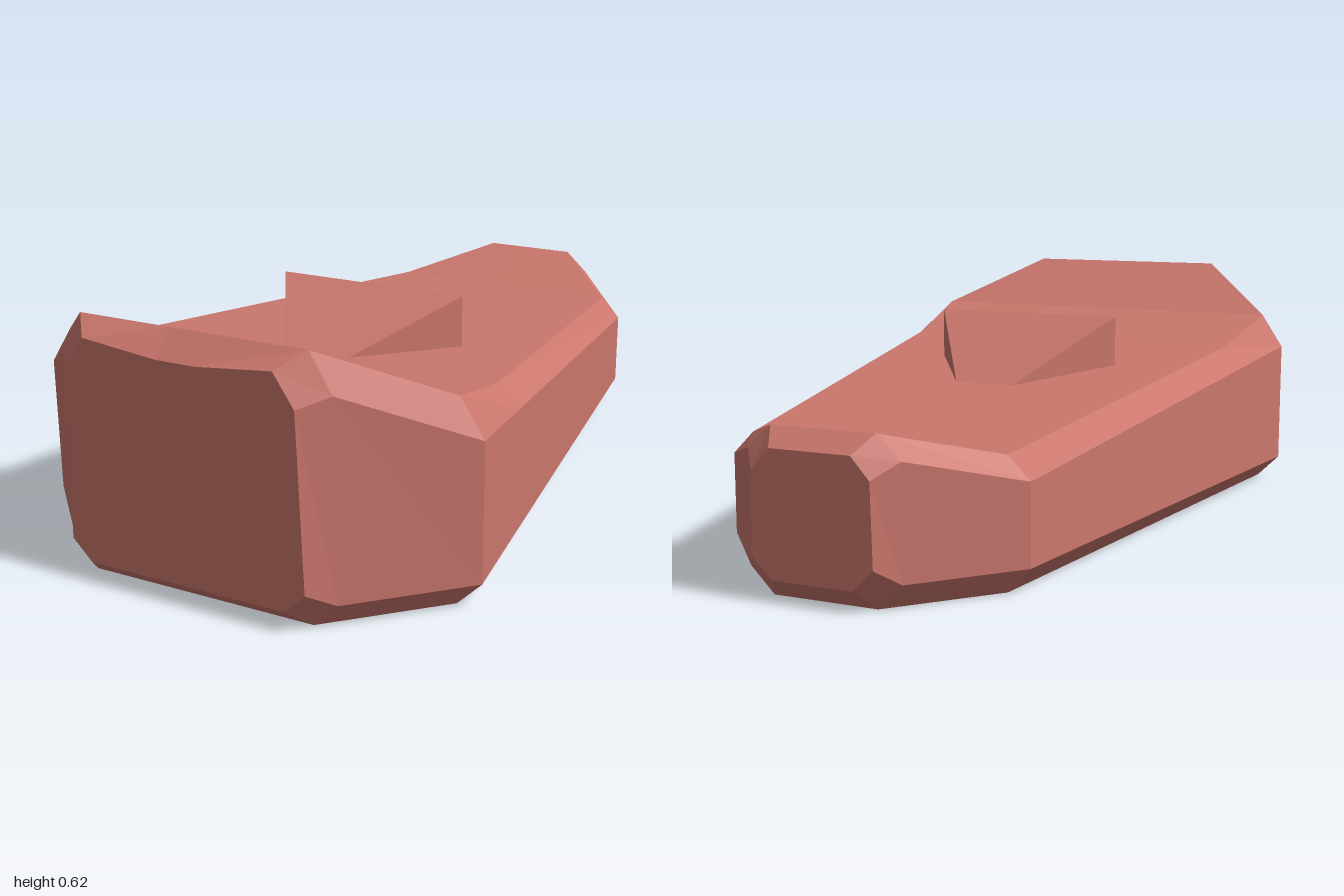
import * as THREE from 'three';

const material = new THREE.MeshStandardMaterial({ color: 0xcb776d, flatShading: true });

function makeMesh(name, triangles) {
  const geometry = new THREE.BufferGeometry();
  geometry.setAttribute('position', new THREE.Float32BufferAttribute(triangles.flat(2), 3));
  geometry.computeVertexNormals();
  const mesh = new THREE.Mesh(geometry, material);
  mesh.name = name;
  return mesh;
}

const mirrorX = ([x, y, z]) => [-x, y, z];

// Half sections from back to front: z, then x,y from bottom edge to top edge.
// The last pair sits near the centre line.
const sections = [
  [-1, 0.10, 0.05, 0.15, 0.10, 0.145, 0.29, 0.10, 0.34, 0.03, 0.34],
  [-0.945, 0.13, 0, 0.19, 0.06, 0.19, 0.325, 0.13, 0.38, 0.04, 0.38],
  [-0.72, 0.33, 0, 0.385, 0.06, 0.385, 0.255, 0.33, 0.31, 0.05, 0.31],
  [0.425, 0.482, 0, 0.541, 0.06, 0.541, 0.367, 0.482, 0.42, 0.05, 0.42],
  [0.71, 0.52, 0, 0.58, 0.06, 0.58, 0.395, 0.52, 0.487, 0.05, 0.487],
  [0.94, 0.29, 0, 0.35, 0.06, 0.345, 0.53, 0.29, 0.62, 0.05, 0.62],
  [1, 0.255, 0.05, 0.305, 0.10, 0.29, 0.51, 0.24, 0.585, 0.05, 0.565],
];

function makeBody() {
  const rings = sections.map(([z, ...xy]) => {
    const half = [];
    for (let i = 0; i < xy.length; i += 2) half.push([xy[i], xy[i + 1], z]);
    return [...half, ...half.map(mirrorX).reverse()];
  });
  const triangles = [];
  const count = rings[0].length;
  for (let s = 0; s < rings.length - 1; s++) {
    const a = rings[s], b = rings[s + 1];
    for (let i = 0; i < count; i++) {
      const j = (i + 1) % count;
      triangles.push([a[i], a[j], b[j]], [a[i], b[j], b[i]]);
    }
  }
  // End faces
  const back = rings[0], front = rings[rings.length - 1];
  for (let i = 0; i < count; i++) {
    const j = (i + 1) % count;
    triangles.push([[0, 0.3, 1], front[i], front[j]], [[0, 0.2, -1], back[j], back[i]]);
  }
  return makeMesh('body', triangles);
}

// Raised wedge: a wide ridge whose slopes narrow to the deck at both ends
function makeRidge() {
  const top = [0.26, 0.525, 0.14], foot = [0.26, 0.392, 0.14];
  const front = [0.09, 0.42, 0.425], back = [0.08, 0.365, -0.145];
  const [topL, footL, frontL, backL] = [top, foot, front, back].map(mirrorX);
  return makeMesh('ridge', [
    [topL, frontL, front], [topL, front, top],
    [top, back, backL], [top, backL, topL],
    [top, front, foot], [top, foot, back],
    [topL, footL, frontL], [topL, backL, footL],
  ]);
}

export function createModel() {
  const model = new THREE.Group();
  model.name = 'model';
  model.add(makeBody(), makeRidge());
  return model;
}
